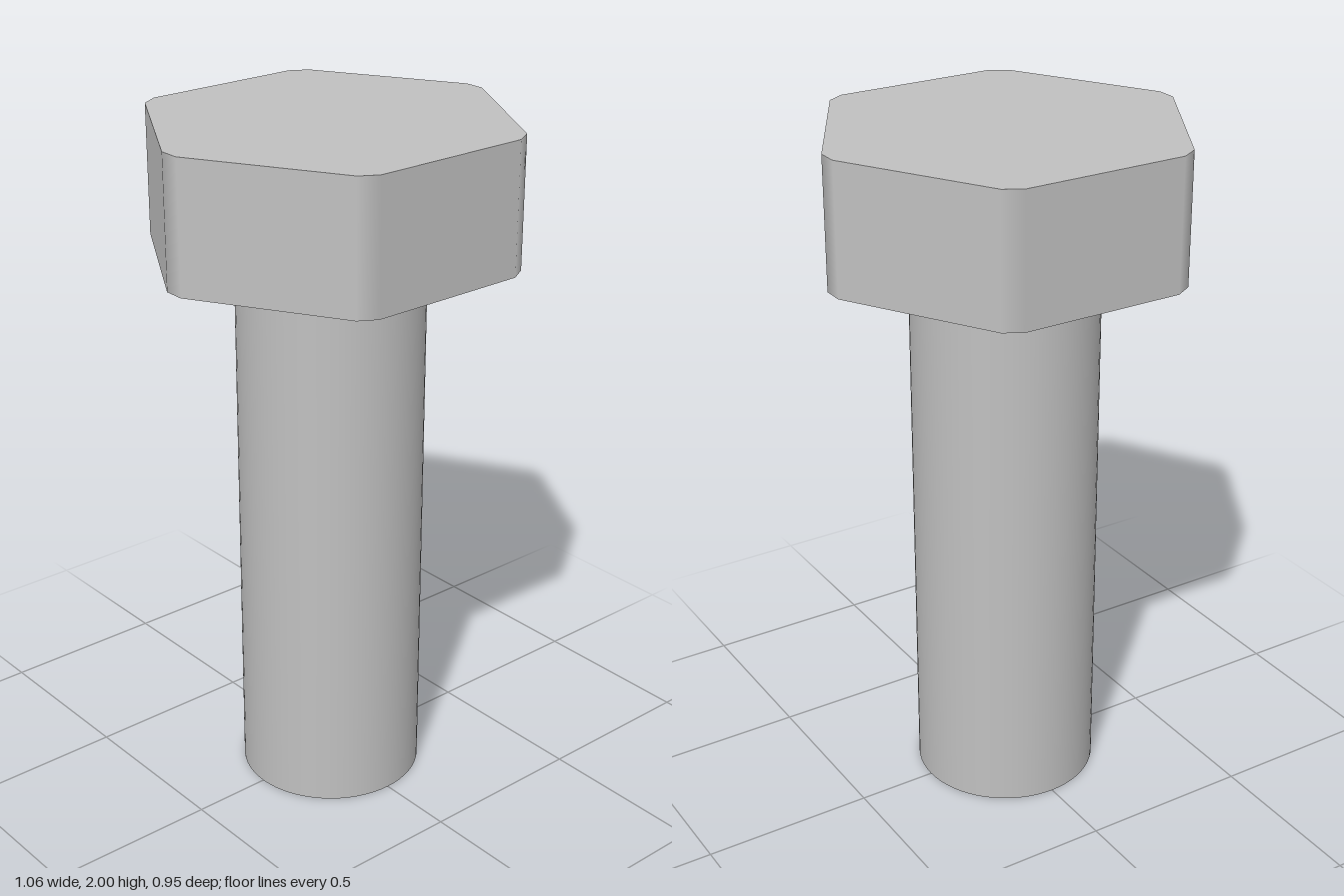
import * as THREE from 'three';

const HEIGHT = 2, HEAD_HEIGHT = 0.375, HEAD_RADIUS = 0.531, SHAFT_RADIUS = 0.267;
const STEP = Math.PI / 3;
const HALF_FACE = THREE.MathUtils.degToRad(26.8); // half the angle spanned by one hex flat

// Hexagonal prism with narrow, softly shaded chamfers on its six upright corners
function hexHeadGeometry() {
  const geometry = new THREE.CylinderGeometry(HEAD_RADIUS, HEAD_RADIUS, HEAD_HEIGHT, 12);
  const { position, normal } = geometry.attributes;
  for (let v = 0; v < position.count; v++) {
    const x = position.getX(v), z = position.getZ(v);
    if (Math.hypot(x, z) < 0.01) continue; // cap centres stay put
    const i = Math.round(Math.atan2(x, z) / (STEP / 2));
    const face = Math.floor(i / 2) * STEP;
    const angle = face + (i % 2 === 0 ? -HALF_FACE : HALF_FACE);
    position.setX(v, HEAD_RADIUS * Math.sin(angle));
    position.setZ(v, HEAD_RADIUS * Math.cos(angle));
    // flats keep their own normal, so each chamfer blends between its neighbours
    if (Math.abs(normal.getY(v)) < 0.5) normal.setXYZ(v, Math.sin(face), 0, Math.cos(face));
  }
  return geometry;
}

export function createModel() {
  const steel = new THREE.MeshStandardMaterial({ color: 0xc0c0c0 });
  steel.name = 'steel grey';
  const bolt = new THREE.Group();
  bolt.name = 'hexBolt';

  const head = new THREE.Mesh(hexHeadGeometry(), steel);
  head.name = 'head';
  head.position.y = HEIGHT - HEAD_HEIGHT / 2;

  const shaftLength = HEIGHT - HEAD_HEIGHT;
  const shaft = new THREE.Mesh(
    new THREE.CylinderGeometry(SHAFT_RADIUS, SHAFT_RADIUS, shaftLength, 64), steel);
  shaft.name = 'shaft';
  shaft.position.y = shaftLength / 2;

  bolt.add(head, shaft);
  return bolt;
}
